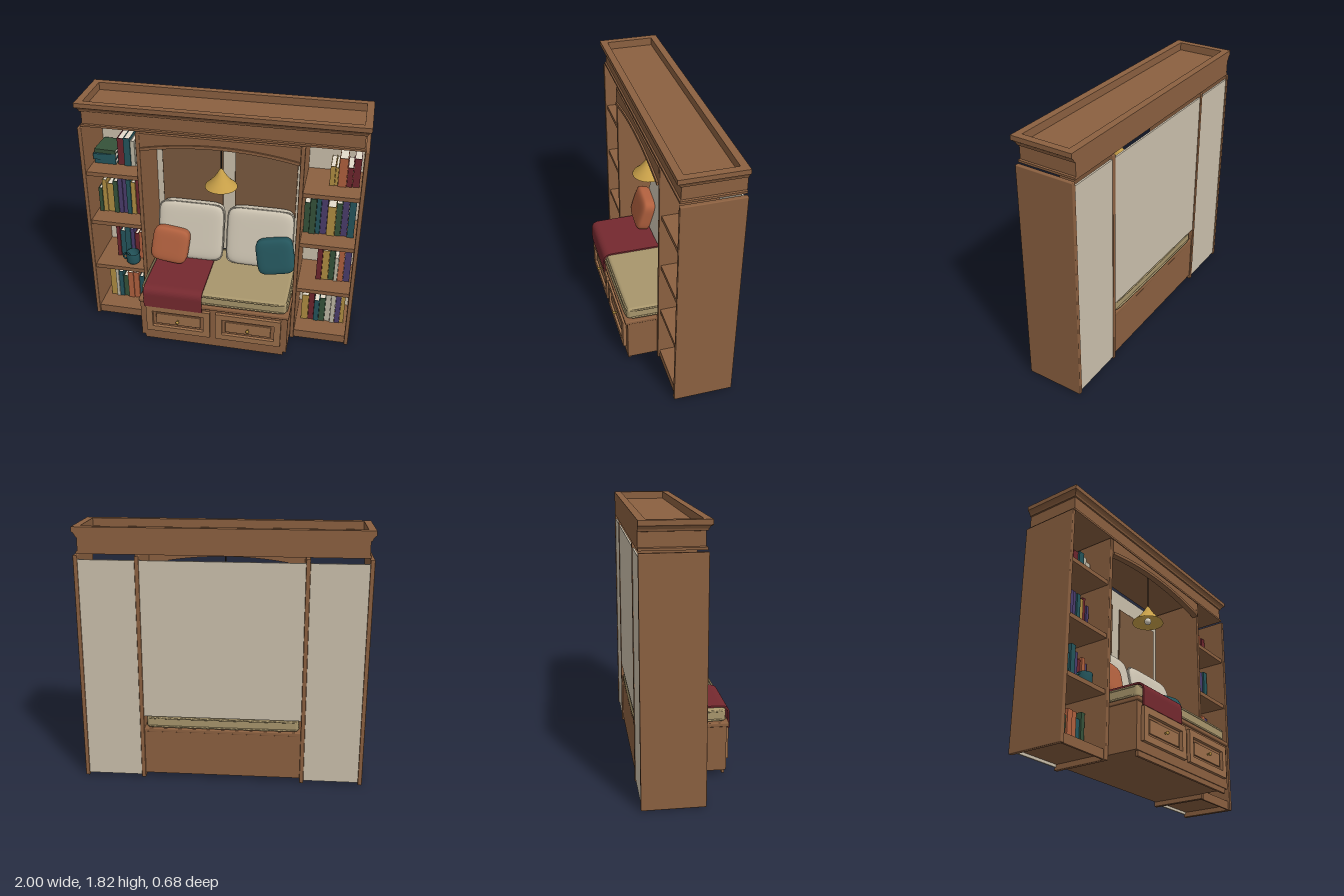
import * as THREE from 'three';
import { mergeVertices } from 'three/addons/utils/BufferGeometryUtils.js';
import { RoundedBoxGeometry } from 'three/addons/geometries/RoundedBoxGeometry.js';

const mat = (color, side = THREE.FrontSide) => new THREE.MeshStandardMaterial({ color, side });
const wood = mat(0x8b6040), drawerWood = mat(0x9c6f4b), panelWood = mat(0x7b5a3f);
const cream = mat(0xcbc0ac), linen = mat(0xcdc4b2), seatCloth = mat(0xa8966c), brass = mat(0xc79f48);
const teal = mat(0x24555c), orange = mat(0xb0603e), throwRed = mat(0x75292f, THREE.DoubleSide), page = mat(0xe4dccb);
const bookColors = {
  r: mat(0x6e262d), t: teal, w: mat(0xbfb8a6), g: mat(0x35523a), y: mat(0xb08d42), p: mat(0x4a3c6c), o: orange,
};

export function createModel() {
  const root = new THREE.Group();
  const add = (name, geo, material, x = 0, y = 0, z = 0, parent = root) => {
    const m = new THREE.Mesh(geo, material);
    m.name = name;
    m.position.set(x, y, z);
    parent.add(m);
    return m;
  };
  // Box given by its limits on each axis, optionally with softened edges
  const box = (name, material, [x0, x1], [y0, y1], [z0, z1], r = 0, parent = root) => {
    const s = [x1 - x0, y1 - y0, z1 - z0];
    const geo = r ? new RoundedBoxGeometry(...s, 2, r) : new THREE.BoxGeometry(...s);
    return add(name, geo, material, (x0 + x1) / 2, (y0 + y1) / 2, (z0 + z1) / 2, parent);
  };
  // Soft cushion: a fine sphere pushed out to a rounded block
  const softBlock = (w, h, d, n = 5) => {
    let geo = new THREE.IcosahedronGeometry(1, 14);
    geo.deleteAttribute('normal');
    geo.deleteAttribute('uv');
    geo = mergeVertices(geo, 1e-4);
    const p = geo.attributes.position, v = new THREE.Vector3();
    for (let i = 0; i < p.count; i++) {
      v.fromBufferAttribute(p, i);
      const k = (Math.abs(v.x) ** n + Math.abs(v.y) ** n + Math.abs(v.z) ** n) ** (-1 / n);
      p.setXYZ(i, v.x * k * w / 2, v.y * k * h / 2, v.z * k * d / 2);
    }
    geo.computeVertexNormals();
    return geo;
  };
  // Piping cord around a rounded rectangle in the XY plane
  const piping = (w, h, c, r) => {
    const pts = [];
    for (let q = 0; q < 4; q++) for (let i = 0; i <= 4; i++) {
      const a = (q + i / 4) * Math.PI / 2;
      const sx = q === 0 || q === 3 ? 1 : -1, sy = q < 2 ? 1 : -1;
      pts.push(new THREE.Vector3(sx * (w / 2 - c) + c * Math.cos(a), sy * (h / 2 - c) + c * Math.sin(a), 0));
    }
    return new THREE.TubeGeometry(new THREE.CatmullRomCurve3(pts, true, 'centripetal'), 80, r, 6, true);
  };

  // Crown: rectangular rings [outer offset, y], flush at the back, with a sunken top
  const crown = [[-0.03, 1.64], [-0.025, 1.64], [-0.025, 1.655], [-0.035, 1.66], [-0.035, 1.75], [-0.026, 1.752],
    [-0.022, 1.765], [-0.012, 1.78], [0, 1.788], [0, 1.82], [-0.05, 1.82], [-0.05, 1.765]];
  const ring = ([o, y], i) => {
    const back = i < 10 ? -0.34 : -0.34 - o, x = 1 + o, f = 0.1 + o;
    return [[-x, y, f], [x, y, f], [x, y, back], [-x, y, back]];
  };
  const verts = [], quad = (a, b, c, d) => verts.push(...a, ...b, ...c, ...a, ...c, ...d);
  const rings = crown.map(ring);
  for (let i = 0; i < rings.length - 1; i++) for (let j = 0; j < 4; j++) {
    const k = (j + 1) % 4;
    quad(rings[i][j], rings[i][k], rings[i + 1][k], rings[i + 1][j]);
  }
  quad(...rings.at(-1));
  quad(...[...rings[0]].reverse());
  const crownGeo = new THREE.BufferGeometry();
  crownGeo.setAttribute('position', new THREE.Float32BufferAttribute(verts, 3));
  crownGeo.computeVertexNormals();
  add('crown', crownGeo, wood);

  // Shelf towers
  const shelfTops = [0.07, 0.47, 0.87, 1.28];
  for (const s of [-1, 1]) {
    const span = (a, b) => (s > 0 ? [a, b] : [-b, -a]);
    box('outerSide', wood, span(0.97, 1), [0, 1.63], [-0.34, 0.08], 0.006);
    box('innerSide', wood, span(0.555, 0.585), [0, 1.63], [-0.34, 0.08], 0.006);
    box('towerBack', cream, span(0.585, 0.97), [0.02, 1.6], [-0.335, -0.322]);
    box('towerKick', wood, span(0.585, 0.97), [0.005, 0.045], [0.05, 0.065]);
    for (const y of shelfTops) box('shelf', wood, span(0.585, 0.97), [y - 0.032, y], [-0.32, 0.065]);
  }

  // A book: spine, two boards and a page block; spine faces +z
  const book = (w, h, d, color) => {
    const g = new THREE.Group(), t = 0.004;
    g.name = 'book';
    box('bookSpine', color, [-w / 2, w / 2], [0, h], [-t, 0], 0, g);
    for (const s of [-1, 1]) box('bookBoard', color, s < 0 ? [-w / 2, -w / 2 + t] : [w / 2 - t, w / 2], [0, h], [-d, -t], 0, g);
    box('bookPages', page, [-w / 2 + t, w / 2 - t], [0.004, h - 0.006], [-d + 0.005, -t], 0, g);
    root.add(g);
    return g;
  };
  // Rows of books: shelf index, starting x, then colour + width and height in hundredths
  const rows = [
    [0, -0.925, 'y5,26.5 w2.5,26.5 t3.5,24 g4,20 o4.7,24.5 o4.5,24.5 t4,21 g3.5,26'],
    [1, -0.84, 'r3,27 t4,23 t4.5,30 p3,26 r3.5,22 o3.5,24 p2.5,21'],
    [2, -0.95, 'g3,20 y3.5,27 y5,24 g3.7,27 p3.5,29.5 p3,30 t3.5,29 y3.5,27 r2.8,29.5 p2.5,24'],
    [3, -0.78, 'r5,21 t5,22 w3.2,20 w5,18'],
    [0, 0.62, 'y5.3,23 r4.3,26 t4,19.5 g4.5,22 w4.2,29 w3.5,26 p4,26 y3.2,26'],
    [1, 0.71, 'r4,30 y5,26 g4.2,26 w2.7,21 o4.2,31 p5,30.5'],
    [2, 0.59, 'g4.2,25 g4.5,29 t3.3,31 p4.7,31 y6,24 g4.2,27 p4.7,30 t5,31'],
    [3, 0.75, 'y3.6,15 y2.2,14 o6,22 r4,15 r5,22'],
  ];
  rows.forEach(([level, start, list], r) => {
    let x = start;
    list.split(' ').forEach((item, i) => {
      const [w, h] = item.slice(1).split(',').map((n) => n / 100);
      book(w - 0.002, h, 0.17 + 0.01 * ((i + r) % 3), bookColors[item[0]])
        .position.set(x + w / 2, shelfTops[level], -0.09 + 0.006 * ((i * 2 + r) % 3));
      x += w;
    });
  });
  // Stack of lying books
  [[0.035, 'g', 0.16, 0], [0.045, 't', 0.165, 0.08], [0.03, 'g', 0.16, -0.05]].reduce((y, [t, c, len, yaw], i) => {
    const b = book(t, len, 0.2, i ? bookColors[c] : teal);
    b.rotation.set(0, yaw, Math.PI / 2, 'YXZ');
    b.position.set(-0.795, y + t / 2, -0.08);
    return y + t;
  }, 1.28);

  // Mug
  const mugProfile = [[0, 0], [0.04, 0], [0.052, 0.015], [0.053, 0.09], [0.047, 0.09], [0.045, 0.015], [0, 0.012]];
  add('mug', new THREE.LatheGeometry(mugProfile.map((p) => new THREE.Vector2(...p)), 28), teal, -0.695, 0.47, -0.02);
  add('mugHandle', new THREE.TorusGeometry(0.026, 0.007, 8, 20), teal, -0.748, 0.518, -0.02);

  // Alcove back with two framed panels
  box('alcoveBack', cream, [-0.555, 0.555], [0.48, 1.6], [-0.335, -0.322]);
  for (const s of [-1, 1]) box('alcovePanel', panelWood, s < 0 ? [-0.51, -0.045] : [0.045, 0.51], [0.6, 1.46], [-0.322, -0.31], 0.004);

  // Arched valance and its trim
  const archPart = (top, z, depth, name) => {
    const sh = new THREE.Shape();
    sh.moveTo(-0.555, 1.5);
    sh.quadraticCurveTo(0, 1.62, 0.555, 1.5);
    if (top) sh.lineTo(0.555, top).lineTo(-0.555, top);
    else sh.lineTo(0.555, 1.522).quadraticCurveTo(0, 1.642, -0.555, 1.522);
    add(name, new THREE.ExtrudeGeometry(sh, { depth, bevelEnabled: false, curveSegments: 24 }), wood, 0, 0, z);
  };
  archPart(1.63, 0.045, 0.035, 'valance');
  archPart(0, 0.08, 0.012, 'valanceTrim');

  // Bench
  box('benchBody', wood, [-0.555, 0.555], [0.035, 0.36], [-0.33, 0.295]);
  box('benchTop', wood, [-0.563, 0.563], [0.355, 0.385], [-0.33, 0.313], 0.008);
  box('benchKick', wood, [-0.53, 0.53], [0, 0.036], [0.27, 0.288]);
  for (const s of [-1, 1]) {
    const frame = new THREE.Shape([[-0.243, -0.115], [0.243, -0.115], [0.243, 0.115], [-0.243, 0.115]].map((p) => new THREE.Vector2(...p)));
    frame.holes.push(new THREE.Path([[-0.195, -0.07], [-0.195, 0.07], [0.195, 0.07], [0.195, -0.07]].map((p) => new THREE.Vector2(...p))));
    add('drawerFrame', new THREE.ExtrudeGeometry(frame, { depth: 0.024, bevelEnabled: false }), drawerWood, s * 0.265, 0.215, 0.295);
    add('drawerPanel', new RoundedBoxGeometry(0.34, 0.095, 0.014, 2, 0.005), drawerWood, s * 0.265, 0.215, 0.302);
    const knob = [[0, 0], [0.006, 0], [0.006, 0.014], [0.013, 0.02], [0.012, 0.028], [0, 0.032]].map((p) => new THREE.Vector2(...p));
    add('drawerKnob', new THREE.LatheGeometry(knob, 20), brass, s * 0.265, 0.215, 0.308).rotation.x = Math.PI / 2;
  }

  // Seat cushion with piping
  add('seatCushion', new RoundedBoxGeometry(1.08, 0.092, 0.615, 4, 0.025), seatCloth, 0, 0.43, -0.015);
  for (const y of [0.4, 0.463]) add('seatPiping', piping(1.08, 0.615, 0.04, 0.007), seatCloth, 0, y, -0.015).rotation.x = Math.PI / 2;

  // Back cushions and scatter pillows
  for (const s of [-1, 1]) {
    const g = new THREE.Group();
    g.name = 'backCushion';
    g.position.set(s * 0.266, 0.715, -0.2);
    g.rotation.x = -0.22;
    add('backCushionBody', softBlock(0.5, 0.45, 0.13, 7), linen, 0, 0, 0, g);
    add('backCushionPiping', piping(0.495, 0.44, 0.05, 0.006), linen, 0, 0, 0.035, g);
    root.add(g);
  }
  const pillows = [['orangePillow', orange, -0.405, 0.64, -0.11], ['tealPillow', teal, 0.4, 0.64, 0.18]];
  for (const [name, m, x, y, roll] of pillows)
    add(name, softBlock(0.28, 0.275, 0.11, 5), m, x, y, -0.075).rotation.set(-0.25, 0, roll);

  // Throw blanket draped over the seat edge
  const drape = new THREE.Shape();
  drape.moveTo(-0.16, 0.482).lineTo(0.26, 0.482).quadraticCurveTo(0.312, 0.482, 0.312, 0.43).lineTo(0.312, 0.33)
    .lineTo(0.323, 0.33).lineTo(0.323, 0.43).quadraticCurveTo(0.323, 0.494, 0.26, 0.494).lineTo(-0.16, 0.494);
  add('throwBlanket', new THREE.ExtrudeGeometry(drape, { depth: 0.44, bevelEnabled: false, curveSegments: 10 }), throwRed, -0.08, 0, 0)
    .rotation.y = -Math.PI / 2;

  // Pendant lamp
  const shade = [[0.116, 0], [0.112, 0.008], [0.08, 0.036], [0.05, 0.072], [0.03, 0.1], [0.016, 0.128], [0.004, 0.142]];
  add('lampShade', new THREE.LatheGeometry(shade.map((p) => new THREE.Vector2(...p)), 36), mat(0xc79f48, THREE.DoubleSide), 0, 1.228, -0.012);
  add('lampCord', new THREE.CylinderGeometry(0.004, 0.004, 0.28, 8), mat(0x2a2420), 0, 1.5, -0.012);
  add('lampBulb', new THREE.SphereGeometry(0.026, 20, 14), page, 0, 1.242, -0.012);
  return root;
}
